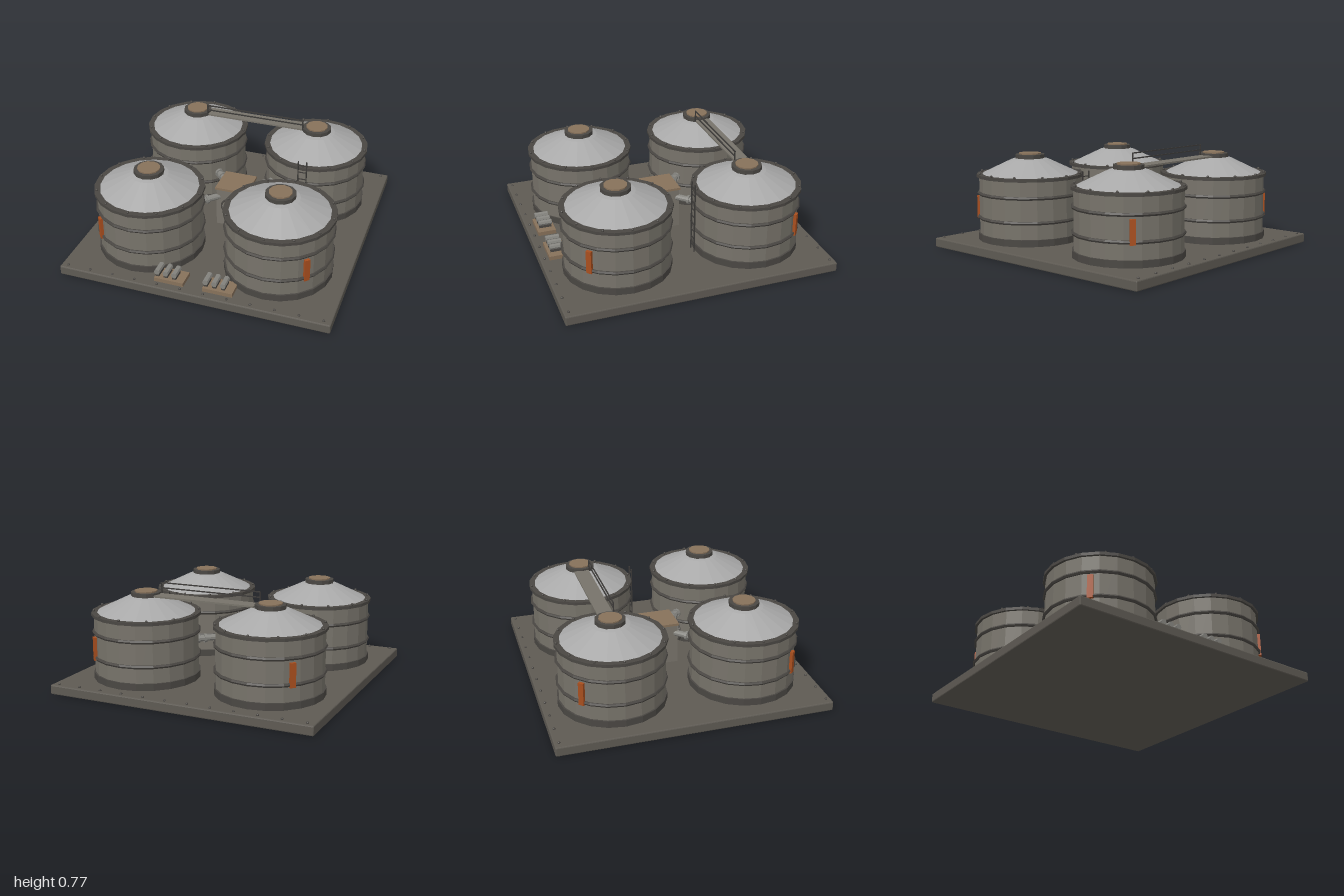
import * as THREE from 'three';
import { RoundedBoxGeometry } from 'three/addons/geometries/RoundedBoxGeometry.js';

const mat = (color, side = THREE.FrontSide) =>
  new THREE.MeshStandardMaterial({ color, flatShading: true, side });
const M = {
  slab: mat(0x5e5a53), wall: mat(0x77736a), dark: mat(0x4a4743), roof: mat(0xa8a8a8),
  tan: mat(0x87715a), orange: mat(0xa84e1e), steel: mat(0x85847f), iron: mat(0x3c3a38),
};
const SIDES = 20;

function add(parent, name, geometry, material, x = 0, y = 0, z = 0) {
  const mesh = new THREE.Mesh(geometry, material);
  mesh.name = name;
  mesh.position.set(x, y, z);
  parent.add(mesh);
  return mesh;
}
function group(parent, name, x = 0, y = 0, z = 0) {
  const g = new THREE.Group();
  g.name = name;
  g.position.set(x, y, z);
  parent.add(g);
  return g;
}
const box = (w, h, d) => new THREE.BoxGeometry(w, h, d);
const cyl = (r, h, n = SIDES, r2 = r) => new THREE.CylinderGeometry(r, r2, h, n);
const rivet = new THREE.SphereGeometry(0.01, 8, 6);

// Storage tank: ringed wall, conical roof, hatch and outward-facing gauge
function addTank(parent, sx, sz) {
  const t = group(parent, 'tank', sx * 0.49, 0, sz * 0.49);
  add(t, 'wall', cyl(0.382, 0.48), M.wall, 0, 0.31);
  add(t, 'footRing', cyl(0.394, 0.05), M.dark, 0, 0.095);
  for (const y of [0.24, 0.42]) {
    add(t, 'band', new THREE.TorusGeometry(0.384, 0.014, 6, SIDES), M.dark, 0, y).rotation.x = Math.PI / 2;
  }
  add(t, 'rim', cyl(0.4, 0.022), M.dark, 0, 0.55);
  const roof = [[0.36, 0.56], [0.14, 0.665], [0.11, 0.673], [0, 0.673]];
  add(t, 'roof', new THREE.LatheGeometry(roof.map(p => new THREE.Vector2(...p)), SIDES), M.roof);
  add(t, 'hatchCollar', cyl(0.11, 0.032, 12), M.dark, 0, 0.686);
  add(t, 'hatchLid', cyl(0.083, 0.016, 12), M.tan, 0, 0.704);
  for (let i = 0; i < 12; i++) {
    const a = i * Math.PI / 6;
    add(t, 'rivet', rivet, M.dark, Math.sin(a) * 0.382, 0.567, Math.cos(a) * 0.382);
  }
  const a = Math.atan2(sx, sz);
  const gauge = add(t, 'gauge', box(0.04, 0.17, 0.022), M.orange, Math.sin(a) * 0.388, 0.307, Math.cos(a) * 0.388);
  gauge.rotation.y = a;
}

// Flanged pipe from the central housing to one tank
function addPipe(parent, sx, sz) {
  const p = group(parent, 'pipe', 0, 0.31, 0);
  p.rotation.y = Math.atan2(sx, sz);
  const along = (name, r, h, d) => {
    add(p, name, cyl(r, h, 10), M.steel, 0, 0, d).rotation.x = Math.PI / 2;
  };
  along('pipeRun', 0.024, 0.2, 0.23);
  along('flange', 0.034, 0.018, 0.245);
  along('flange', 0.034, 0.018, 0.3);
}

// Pallet carrying three small horizontal cylinders
function addPallet(parent, x) {
  const p = group(parent, 'pallet', x, 0, 0.868);
  add(p, 'palletBase', box(0.218, 0.03, 0.135), M.tan, 0, 0.085);
  for (const dx of [-0.093, -0.029, 0.035]) {
    add(p, 'cradle', box(0.028, 0.03, 0.09), M.dark, dx, 0.113);
    add(p, 'canister', cyl(0.021, 0.1, 8), M.steel, dx, 0.136).rotation.x = Math.PI / 2;
  }
}

export function createModel() {
  const model = new THREE.Group();
  model.name = 'tankFarm';

  // Foundation
  add(model, 'foundation', new RoundedBoxGeometry(2, 0.07, 2, 1, 0.008), M.slab, 0, 0.035);
  for (const z of [-0.965, 0.965]) {
    for (let i = 0; i < 12; i++) add(model, 'anchorBolt', rivet, M.dark, -0.946 + i * 0.172, 0.072, z);
  }

  // Tanks and pipes
  for (const sx of [-1, 1]) {
    for (const sz of [-1, 1]) {
      addTank(model, sx, sz);
      addPipe(model, sx, sz);
    }
  }

  // Central housing with hand wheel
  const h = group(model, 'housing');
  add(h, 'housingBody', box(0.235, 0.31, 0.235), M.wall, 0, 0.225);
  add(h, 'housingLid', box(0.25, 0.018, 0.25), M.tan, 0, 0.386);
  const wheel = group(h, 'handWheel', 0, 0.265, 0.157);
  add(wheel, 'wheelRim', new THREE.TorusGeometry(0.063, 0.006, 6, 20), M.dark);
  for (const a of [0, Math.PI / 2]) add(wheel, 'spoke', box(0.124, 0.006, 0.006), M.steel).rotation.z = a;
  add(wheel, 'wheelHub', cyl(0.012, 0.05, 8), M.dark, 0, 0, -0.02).rotation.x = Math.PI / 2;
  add(h, 'lamp', new THREE.SphereGeometry(0.02, 10, 8), M.orange, 0.07, 0.312, 0.125);

  // Walkway between the rear tanks, railed along one side
  const w = group(model, 'walkway');
  add(w, 'deck', box(0.78, 0.012, 0.112), M.wall, 0, 0.683, -0.499);
  for (const y of [0.728, 0.766]) add(w, 'rail', box(0.785, 0.008, 0.008), M.iron, 0, y, -0.44);
  for (const x of [-0.389, 0.389]) add(w, 'railPost', box(0.008, 0.09, 0.008), M.iron, x, 0.725, -0.44);

  // Ladder on the rear left tank
  const l = group(model, 'ladder', 0.49, 0, -0.085);
  for (const x of [-0.032, 0.032]) add(l, 'ladderRail', box(0.008, 0.55, 0.008), M.iron, x, 0.345);
  for (let i = 0; i < 9; i++) add(l, 'rung', box(0.064, 0.006, 0.006), M.iron, 0, 0.12 + i * 0.058);

  // Equipment pallets at the front
  for (const x of [-0.182, 0.18]) addPallet(model, x);

  return model;
}
